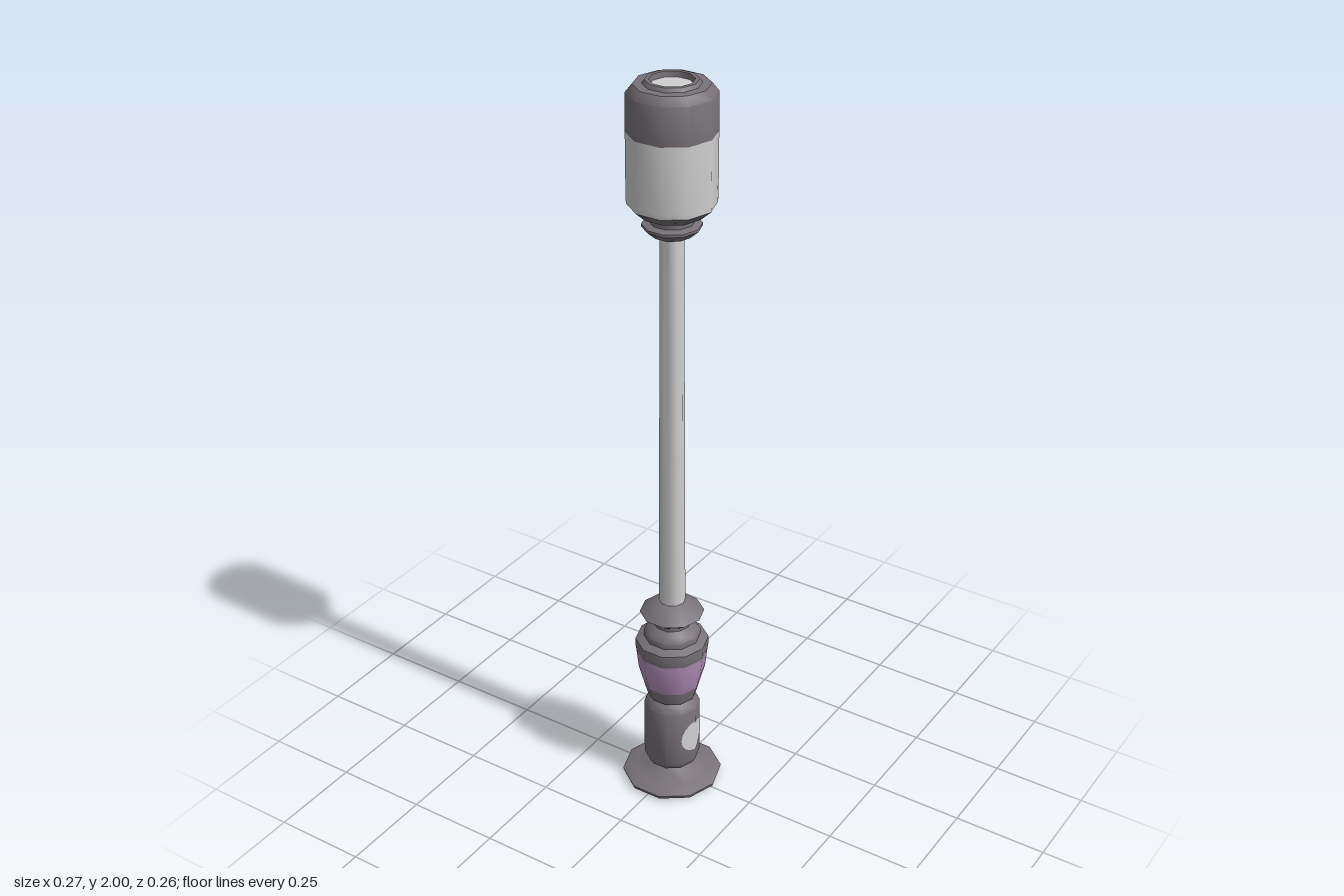
import * as THREE from 'three';
import { toCreasedNormals } from 'three/addons/utils/BufferGeometryUtils.js';

const SIDES = 10;

export function createModel() {
  const group = new THREE.Group();
  const material = (name, color) => {
    const m = new THREE.MeshStandardMaterial({ color });
    m.name = name;
    return m;
  };
  const dark = material('dark metal', 0x787278);
  const light = material('light grey', 0xd0d0d0);
  const purple = material('purple', 0xb08fb8);

  const add = (name, geometry, mat) => {
    const mesh = new THREE.Mesh(geometry, mat);
    mesh.name = name;
    group.add(mesh);
    return mesh;
  };

  // Ten-sided turned part from [radius, height] pairs, corners on the x axis
  const turned = (name, profile, mat) => {
    const lathe = new THREE.LatheGeometry(profile.map(([r, y]) => new THREE.Vector2(r, y)), SIDES);
    lathe.rotateY(Math.PI / 2);
    return add(name, toCreasedNormals(lathe, 0.68), mat);
  };

  // Foot and lower drum
  turned('foot', [[0, 0.006], [0.132, 0.006], [0.135, 0.015], [0.105, 0.028], [0.05, 0.04], [0.04, 0.05]], dark);
  turned('lowerDrum', [[0.04, 0.05], [0.065, 0.058], [0.075, 0.075], [0.075, 0.245], [0.064, 0.262], [0.055, 0.27]], dark);
  turned('footPlug', [[0, 0], [0.038, 0], [0.038, 0.01]], light);

  // Round plates wrapped over the drum corners on both sides
  for (const side of [1, -1]) {
    const plate = new THREE.CircleGeometry(0.047, 16);
    plate.rotateY(side * Math.PI / 2);
    const p = plate.attributes.position;
    for (let i = 0; i < p.count; i++) {
      p.setX(i, side * (0.0765 - Math.abs(p.getZ(i)) * Math.tan(Math.PI / SIDES)));
    }
    plate.translate(0, 0.157, 0);
    plate.computeVertexNormals();
    add(side > 0 ? 'leftPlate' : 'rightPlate', plate, light);
  }

  // Cup with purple band, then stepped collar
  turned('cupBase', [[0.055, 0.27], [0.066, 0.275], [0.077, 0.315]], dark);
  turned('cupBand', [[0.077, 0.315], [0.089, 0.36], [0.095, 0.415]], purple);
  turned('cupCollar', [[0.095, 0.415], [0.097, 0.43], [0.097, 0.452], [0.075, 0.462], [0.075, 0.478],
    [0.065, 0.49], [0.05, 0.502], [0.05, 0.512], [0.085, 0.538], [0.045, 0.572], [0.03, 0.575]], dark);

  // Pole
  turned('pole', [[0.035, 0.56], [0.029, 1.64]], light);

  // Head
  turned('headCollar', [[0.028, 1.615], [0.05, 1.618], [0.073, 1.638], [0.073, 1.645], [0.055, 1.65],
    [0.055, 1.668], [0.08, 1.672], [0.108, 1.697]], dark);
  turned('headSleeve', [[0.108, 1.697], [0.109, 1.71], [0.109, 1.875]], light);
  turned('headCap', [[0.109, 1.875], [0.108, 1.97], [0.092, 1.99], [0.07, 1.991], [0.064, 2],
    [0.054, 2], [0.052, 1.985]], dark);
  turned('headLens', [[0.053, 1.986], [0, 1.988]], light);

  return group;
}
